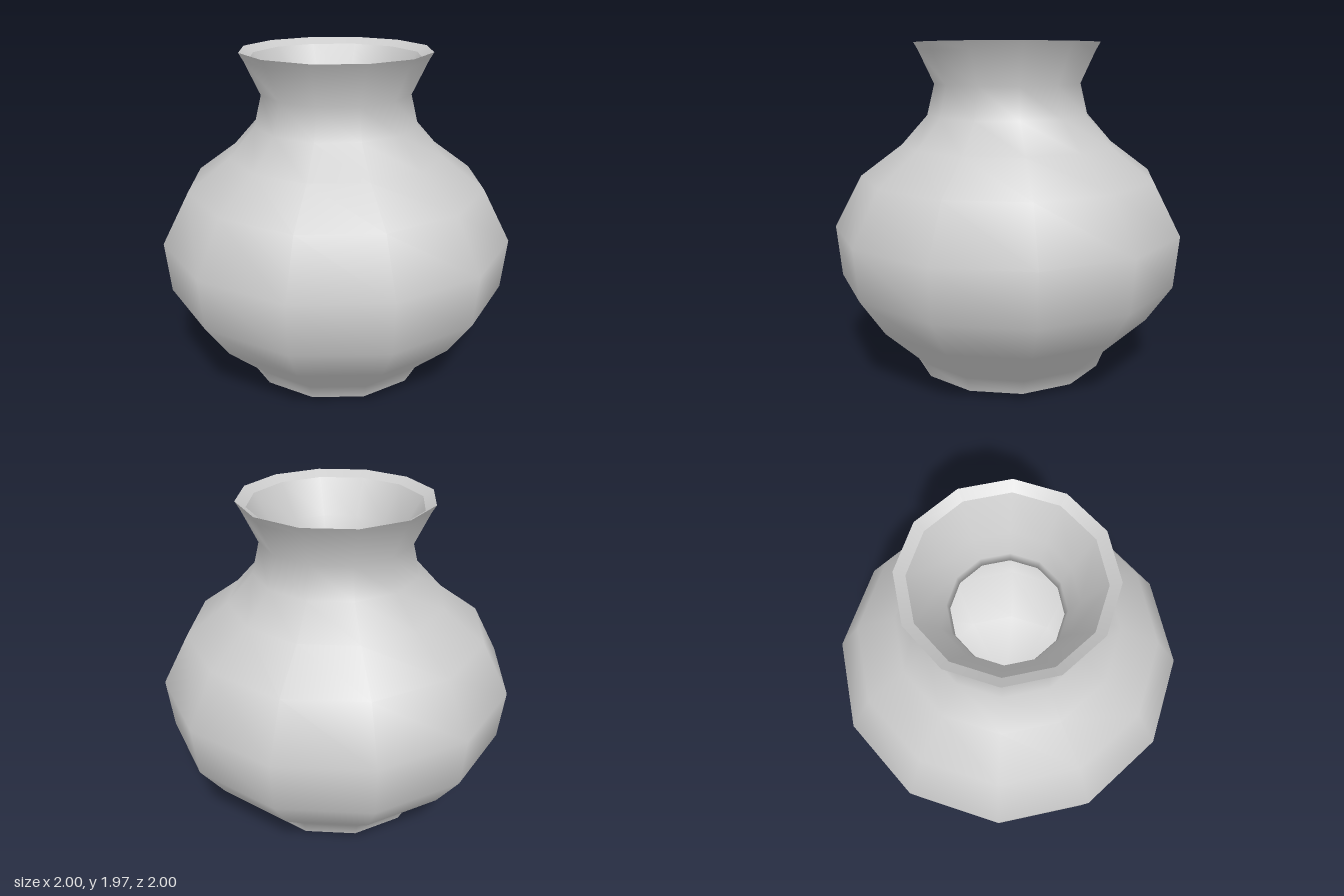
import * as THREE from 'three';
import { ConvexGeometry } from 'three/addons/geometries/ConvexGeometry.js';

const SIDES = 12;
const HALF = Math.PI / SIDES;

export function createModel() {
  const group = new THREE.Group();
  const smooth = new THREE.MeshStandardMaterial({ color: 0xcccccc, side: THREE.DoubleSide });
  const faceted = new THREE.MeshStandardMaterial({ color: 0xcccccc, flatShading: true });

  // Twelve-sided turned surface; profile gives [flat-to-flat half width, height]
  const turn = (name, profile) => {
    const points = profile.map(([w, y]) => new THREE.Vector2(w / Math.cos(HALF), y));
    const mesh = new THREE.Mesh(new THREE.LatheGeometry(points, SIDES, HALF), smooth);
    mesh.name = name;
    group.add(mesh);
  };

  turn('outerWall', [
    [0.56, 0.04], [0.595, 0.135], [0.835, 0.38], [0.975, 0.6], [1, 0.9], [0.845, 1.2],
    [0.61, 1.38], [0.463, 1.55], [0.42, 1.73], [0.505, 1.92], [0.53, 1.965],
  ]);
  turn('rim', [[0.53, 1.965], [0.475, 1.93]]);
  turn('innerWall', [
    [0.475, 1.93], [0.36, 1.73], [0.31, 1.6], [0.295, 1.55], [0.55, 1.34], [0.78, 1.17],
    [0.93, 0.9], [0.905, 0.62], [0.77, 0.41], [0.53, 0.17], [0, 0.12],
  ]);
  turn('base', [[0, 0.04], [0.56, 0.04]]);

  // Uneven lump inside, showing slightly through the underside
  const lump = [
    [-0.16, 0, 0.31], [0, 0.003, 0.29],
    [0.31, 0.04, -0.08], [0.17, 0.04, 0.24], [0, 0.04, 0.38], [-0.18, 0.04, 0.4],
    [-0.29, 0.035, 0.22], [-0.26, 0.04, 0.02], [0, 0.04, -0.1],
    [0.35, 0.11, -0.1], [-0.33, 0.11, 0], [0, 0.11, -0.2], [-0.2, 0.11, 0.46], [0.15, 0.11, 0.4],
  ].map((p) => new THREE.Vector3(...p));
  const lumpMesh = new THREE.Mesh(new ConvexGeometry(lump), faceted);
  lumpMesh.name = 'bottomLump';
  group.add(lumpMesh);

  return group;
}
